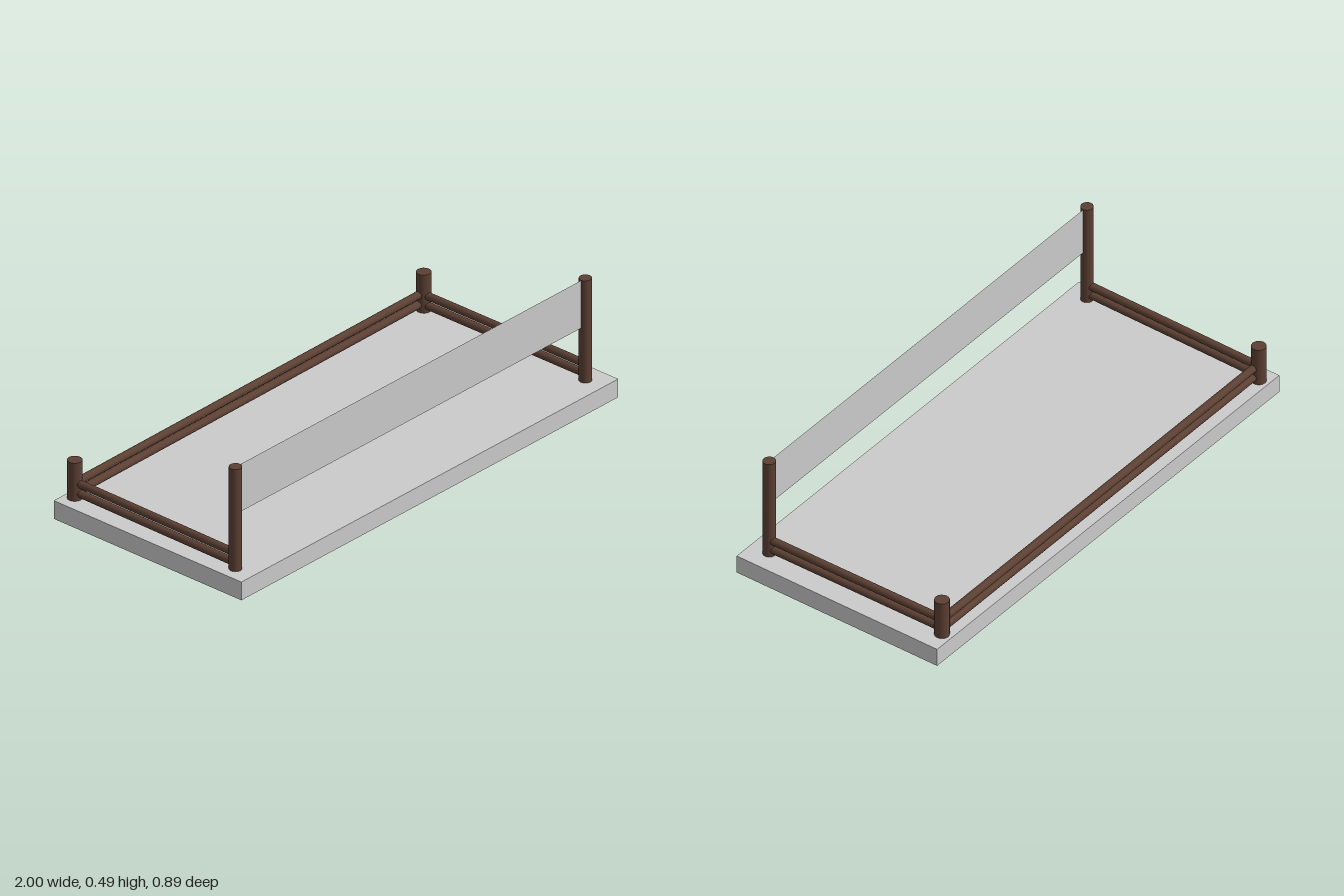
import * as THREE from 'three';

export function createModel() {
  const model = new THREE.Group();
  const grey = new THREE.MeshStandardMaterial({ color: 0xcccccc });
  const greyThin = new THREE.MeshStandardMaterial({ color: 0xcccccc, side: THREE.DoubleSide });
  const wood = new THREE.MeshStandardMaterial({ color: 0x5c4033 });
  const up = new THREE.Vector3(0, 1, 0);

  // Round bar between two points
  function bar(name, from, to, radius) {
    const a = new THREE.Vector3(...from);
    const dir = new THREE.Vector3(...to).sub(a);
    const mesh = new THREE.Mesh(new THREE.CylinderGeometry(radius, radius, dir.length(), 16), wood);
    mesh.name = name;
    mesh.position.copy(a).addScaledVector(dir, 0.5);
    mesh.quaternion.setFromUnitVectors(up, dir.normalize());
    model.add(mesh);
  }

  // Base slab
  const baseTop = 0.074;
  const base = new THREE.Mesh(new THREE.BoxGeometry(2, baseTop, 0.894), grey);
  base.name = 'base';
  base.position.y = baseTop / 2;
  model.add(base);

  // Tall front posts and short back posts
  const frontZ = 0.365, backZ = -0.406;
  for (const [side, x] of [['right', -0.94], ['left', 0.917]]) {
    bar(side + 'FrontPost', [x, baseTop, frontZ], [x, 0.488, frontZ], 0.024);
  }
  for (const [side, x] of [['right', -0.934], ['left', 0.918]]) {
    bar(side + 'BackPost', [x, baseTop, backZ], [x, 0.228, backZ], 0.028);
  }

  // Pairs of rails along the sides and the back
  for (const [level, y] of [['lower', 0.099], ['upper', 0.138]]) {
    bar(level + 'RightRail', [-0.941, y, frontZ], [-0.933, y, backZ], 0.015);
    bar(level + 'LeftRail', [0.919, y, frontZ], [0.915, y, backZ], 0.015);
    bar(level + 'BackRail', [-0.934, y, -0.4], [0.918, y + 0.004, -0.409], 0.015);
  }

  // Thin banner between the front posts
  const banner = new THREE.Mesh(new THREE.PlaneGeometry(1.83, 0.193), greyThin);
  banner.name = 'banner';
  banner.position.set(-0.011, 0.3895, frontZ);
  model.add(banner);

  return model;
}
